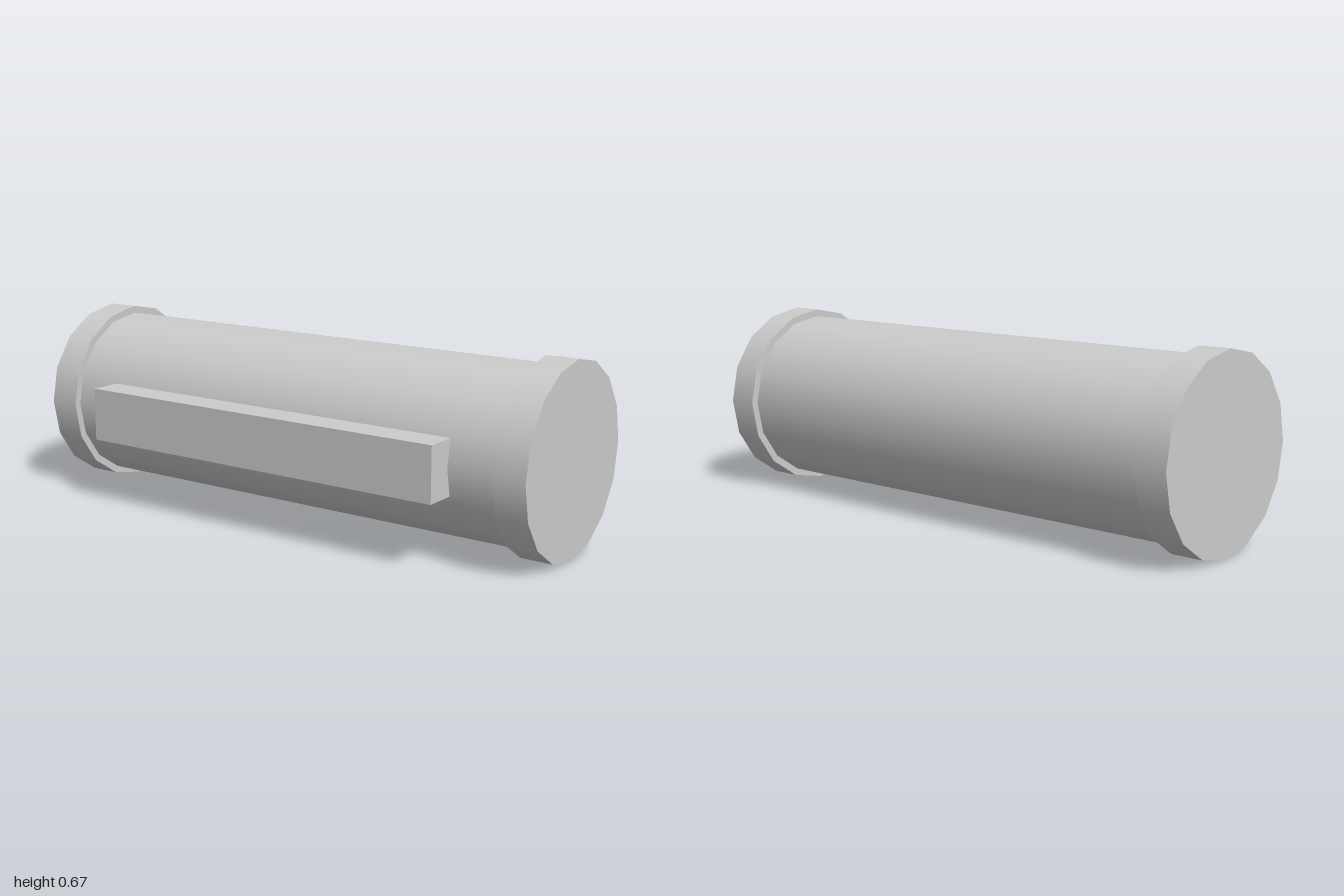
import * as THREE from 'three';

export function createModel() {
  const model = new THREE.Group();
  const grey = new THREE.MeshStandardMaterial({ color: 0xcccccc });
  grey.name = 'light grey';

  const SIDES = 16;
  const AXIS_X = 0.035, AXIS_Y = 0.333;

  // Cylinder lying along z on the shared axis, with a vertex at the top
  function drum(name, radius, length, z, openEnded = false) {
    const geometry = new THREE.CylinderGeometry(radius, radius, length, SIDES, 1, openEnded);
    geometry.rotateX(Math.PI / 2);
    const mesh = new THREE.Mesh(geometry, grey);
    mesh.name = name;
    mesh.position.set(AXIS_X, AXIS_Y, z);
    model.add(mesh);
  }

  // Main tube, running between the end caps
  drum('body', 0.307, 1.77, 0, true);

  // Wider caps at both ends
  const capLength = 0.115;
  drum('frontCap', 0.333, capLength, 1 - capLength / 2);
  drum('backCap', 0.333, capLength, -1 + capLength / 2);

  // Long rail on the right side, sunk slightly into the tube
  const rail = new THREE.Mesh(new THREE.BoxGeometry(0.13, 0.19, 1.426), grey);
  rail.name = 'sideRail';
  rail.position.set(-0.368 + 0.065, AXIS_Y, 0);
  model.add(rail);

  return model;
}
